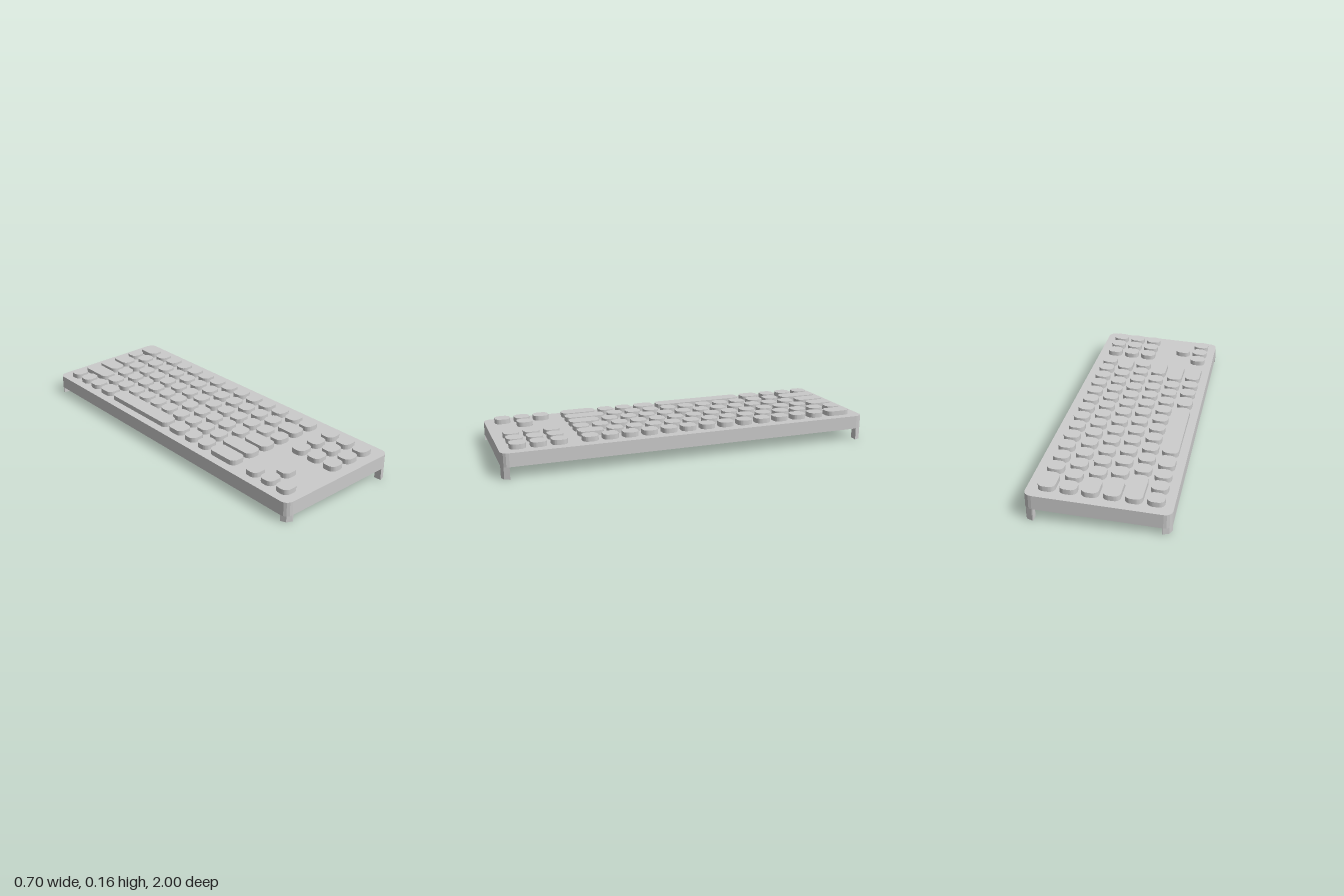
import * as THREE from 'three';
import { toCreasedNormals } from 'three/addons/utils/BufferGeometryUtils.js';

const material = new THREE.MeshStandardMaterial({ color: 0xcccccc });
const HALF_X = 0.35, HALF_Z = 1, CORNER = 0.04;
const SLOPE = 0.048;
const deckTop = (x) => 0.1205 + SLOPE * x;
const deckBottom = (x) => 0.048 + SLOPE * x;

// Rounded rectangle outline centred on (x, z)
function roundedRect(x, z, w, l, r) {
  const s = new THREE.Shape();
  const a = w / 2 - r, b = l / 2 - r;
  s.absarc(x + a, -z + b, r, 0, Math.PI / 2);
  s.absarc(x - a, -z + b, r, Math.PI / 2, Math.PI);
  s.absarc(x - a, -z - b, r, Math.PI, Math.PI * 1.5);
  s.absarc(x + a, -z - b, r, Math.PI * 1.5, Math.PI * 2);
  return s;
}

// Upright prism whose bottom and top follow the given height functions of x
function slab(name, shape, bottom, top, segments, crease) {
  const geo = new THREE.ExtrudeGeometry(shape, { depth: 1, bevelEnabled: false, curveSegments: segments });
  geo.rotateX(-Math.PI / 2);
  const p = geo.attributes.position;
  for (let i = 0; i < p.count; i++) {
    const x = p.getX(i);
    p.setY(i, p.getY(i) > 0.5 ? top(x) : bottom(x));
  }
  geo.computeVertexNormals();
  const mesh = new THREE.Mesh(toCreasedNormals(geo, crease), material);
  mesh.name = name;
  return mesh;
}

// Corner foot continuing the rounded corner of the case
function foot(sx, sz) {
  const inX = 0.305, inZ = 0.96, d = CORNER * (1 - Math.SQRT1_2);
  const outline = [
    [inX, inZ], [HALF_X, inZ], [HALF_X - d, HALF_Z - d], [HALF_X - CORNER, HALF_Z], [inX, HALF_Z],
  ].map(([x, z]) => new THREE.Vector2(sx * x, -sz * z));
  return slab('foot', new THREE.Shape(outline), () => 0, deckBottom, 1, 0.1);
}

export function createModel() {
  const model = new THREE.Group();
  model.name = 'keyboard';

  // Sloping case and its four feet
  const outline = roundedRect(0, 0, HALF_X * 2, HALF_Z * 2, CORNER);
  model.add(slab('case', outline, deckBottom, deckTop, 2, 0.1));
  for (const sx of [-1, 1]) for (const sz of [-1, 1]) model.add(foot(sx, sz));

  // Key widths per row in key units, running from -z to +z
  const ones = (n) => new Array(n).fill(1);
  const rows = [
    { keys: [1, 1, 1, 1.25, 5, 1.25, 1, 1, 2], cluster: [0, 1, 2] },
    { keys: [2.25, ...ones(10), 2.25], cluster: [1] },
    { keys: [1.75, ...ones(11), 1.75], cluster: [] },
    { keys: [1.5, ...ones(13)], cluster: [0, 1, 2] },
    { keys: [...ones(13), 1.5], cluster: [0, 1, 2] },
    { keys: [1.5, ...ones(13)], cluster: [0, 1, 2] },
  ];
  const UNIT = 0.1064, GAP = 0.0225, START = -9 * UNIT;
  const keys = new THREE.Group();
  keys.name = 'keys';

  rows.forEach((row, r) => {
    const x = -0.263 + r * 0.1037;
    const addKey = (start, units) => {
      const shape = roundedRect(x, START + (start + units / 2) * UNIT, 0.085, units * UNIT - GAP, 0.032);
      keys.add(slab('key', shape, (v) => deckTop(v) - 0.002, (v) => deckTop(v) + 0.026, 4, 0.6));
    };
    let at = 0;
    for (const units of row.keys) {
      addKey(at, units);
      at += units;
    }
    // Separate block of arrow and navigation keys
    for (const c of row.cluster) addKey(15 + c, 1);
  });
  model.add(keys);
  return model;
}
